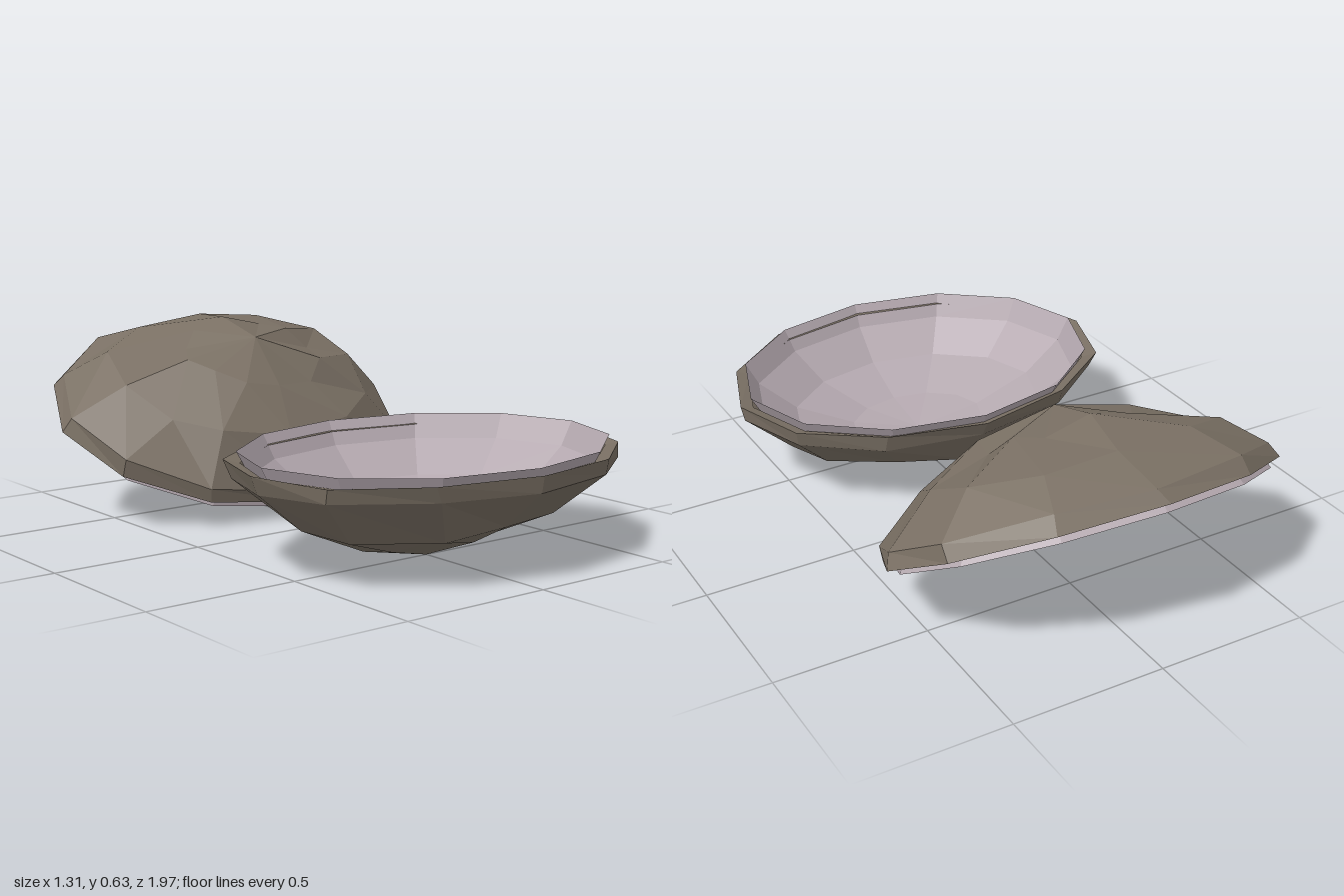
import * as THREE from 'three';

const SIDES = 12;

// Small seeded generator giving values in -1..1
function seeded(seed) {
  let s = seed;
  return () => {
    s = (s * 16807) % 2147483647;
    return (s / 2147483647) * 2 - 1;
  };
}

// Faceted oval bowl turned from [radius, height] points.
// Radii are fractions of rx and rz; rough[j] is the unevenness of ring j.
function bowl(profile, rx, rz, material, rough, seed = 1) {
  const geo = new THREE.LatheGeometry(profile.map(([r, y]) => new THREE.Vector2(r, y)), SIDES);
  const pos = geo.attributes.position;
  const rand = seeded(seed);
  const n = profile.length;
  const offsets = Array.from({ length: SIDES * n }, () => [rand(), rand(), rand()]);
  for (let i = 0; i <= SIDES; i++) {
    for (let j = 0; j < n; j++) {
      const [dr, dy, da] = offsets[(i % SIDES) * n + j];
      const k = rough ? rough[j] : 0;
      const [r0, y0] = profile[j];
      const r = r0 * (1 + dr * k);
      const a = (i / SIDES) * Math.PI * 2 + da * k * 1.2;
      pos.setXYZ(i * n + j, Math.sin(a) * r * rx, y0 + dy * k * 0.3, Math.cos(a) * r * rz);
    }
  }
  const flat = geo.toNonIndexed();
  flat.computeVertexNormals();
  return new THREE.Mesh(flat, material);
}

// One half shell, open side up, rim near y = 0 and the tip at y = -0.325
function halfShell(name, seed, brown, lilac) {
  const shell = new THREE.Group();
  shell.name = name;

  // Rough outer shell with a narrow inward lip
  const outer = bowl(
    [[0, -0.325], [0.38, -0.262], [0.74, -0.178], [0.975, -0.055], [1, 0], [0.93, -0.012]],
    0.655, 0.495, brown, [0, 0.1, 0.06, 0.025, 0.014, 0], seed);
  outer.name = 'outerShell';

  // Smooth pearly lining standing slightly above the lip
  const lining = bowl(
    [[0, -0.255], [0.38, -0.225], [0.71, -0.155], [0.92, -0.055], [0.99, 0.022]],
    0.622, 0.487, lilac);
  lining.name = 'innerLining';

  shell.add(outer, lining);
  return shell;
}

export function createModel() {
  const model = new THREE.Group();
  model.name = 'openShells';
  const brown = new THREE.MeshStandardMaterial({ color: 0x7a7064, flatShading: true, side: THREE.DoubleSide });
  const lilac = new THREE.MeshStandardMaterial({ color: 0xb5a9b0, flatShading: true, side: THREE.DoubleSide });

  // Front half lies open side up
  const front = halfShell('frontShell', 4127, brown, lilac);
  front.position.set(0, 0.325, 0.5);

  // Back half is turned over and leans with its far edge raised
  const back = halfShell('backShell', 90813, brown, lilac);
  back.position.set(0, 0.295, -0.55);
  back.rotation.x = (Math.PI * 7) / 6;

  model.add(front, back);
  return model;
}
